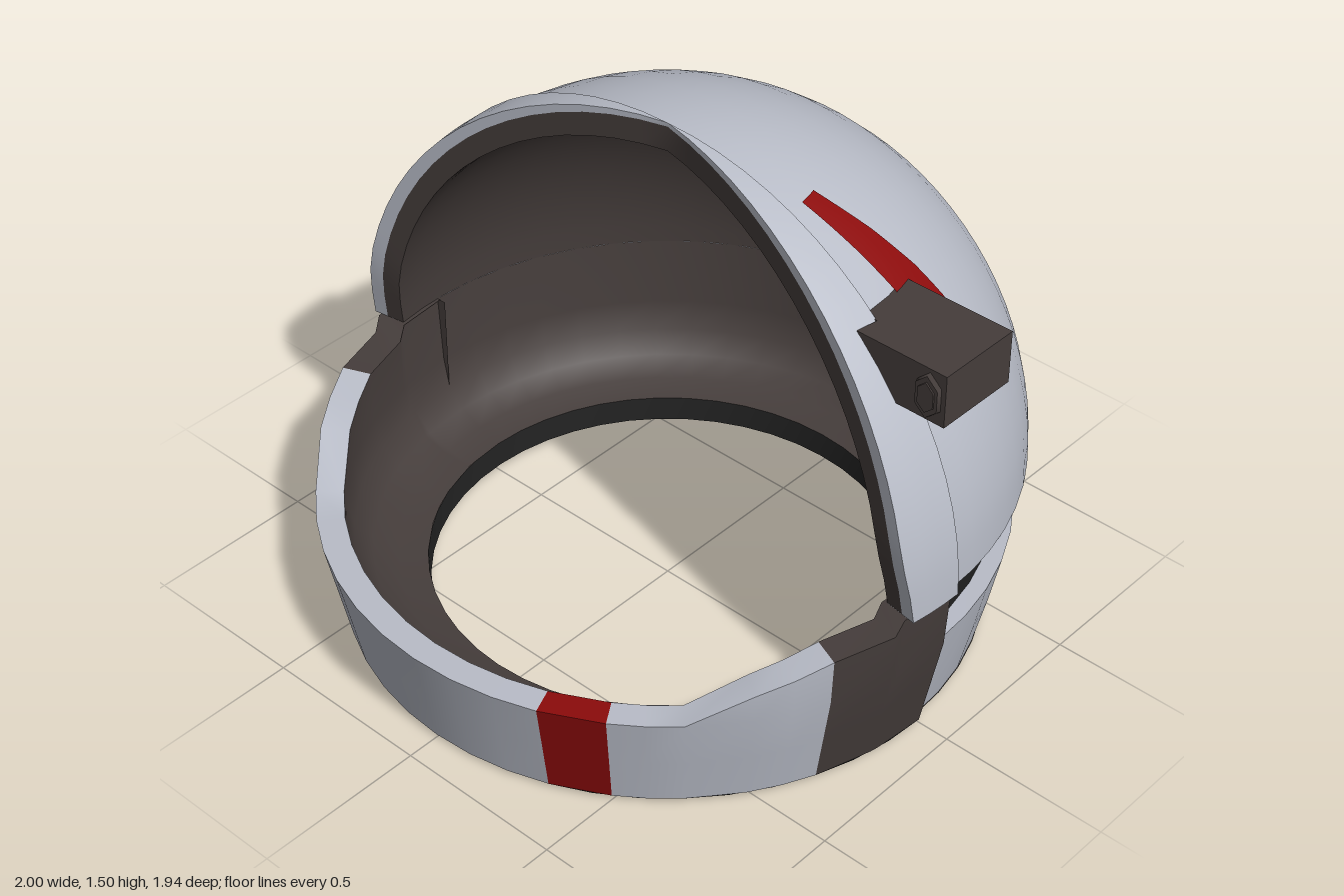
import * as THREE from 'three';
import { mergeGeometries, mergeVertices } from 'three/addons/utils/BufferGeometryUtils.js';

const BASE = 0.51;   // height of the dome's lower edge
const DOME = 0.975;  // dome radius
const LINE = 0.9;    // lining radius

function material(name, color) {
  const m = new THREE.MeshStandardMaterial({ color, side: THREE.DoubleSide });
  m.name = name;
  return m;
}

// Smooth surface from a grid of points; f(u, v) takes values out of us and vs
function grid(us, vs, f, flip = false) {
  const pos = [], idx = [], w = vs.length;
  us.forEach((u) => vs.forEach((v) => pos.push(...f(u, v))));
  for (let i = 0; i < us.length - 1; i++) {
    for (let j = 0; j < w - 1; j++) {
      const a = i * w + j, b = a + w, c = b + 1, d = a + 1;
      if (flip) idx.push(a, c, b, a, d, c);
      else idx.push(a, b, c, a, c, d);
    }
  }
  let g = new THREE.BufferGeometry();
  g.setAttribute('position', new THREE.Float32BufferAttribute(pos, 3));
  g.setIndex(idx);
  g = mergeVertices(g, 1e-5);
  g.computeVertexNormals();
  return g;
}

const range = (a, b, n) => Array.from({ length: n + 1 }, (_, i) => a + (b - a) * i / n);

// Angles in degrees passing through all given breaks, in steps of about 7.5
function angles(...breaks) {
  const out = [breaks[0]];
  for (let i = 1; i < breaks.length; i++) {
    const n = Math.max(1, Math.round((breaks[i] - breaks[i - 1]) / 7.5));
    out.push(...range(breaks[i - 1], breaks[i], n).slice(1));
  }
  return out;
}

// Sweep a profile of [radius, height] about y; angle 0 is the front, 90 is +x
function sweep(degs, profile) {
  const get = typeof profile === 'function' ? profile : () => profile;
  const n = get(degs[0]).length;
  return grid(degs, range(0, n - 1, n - 1), (d, j) => {
    const a = THREE.MathUtils.degToRad(d), [r, y] = get(d)[j];
    return [r * Math.sin(a), y, r * Math.cos(a)];
  });
}

// Upper edge of the chin guard by angle
const EDGE = [[0, 0.325], [45, 0.325], [55.5, 0.41], [67.7, 0.465], [78.5, 0.465], [80, BASE], [181, BASE]];
function topEdge(deg) {
  const a = Math.abs(((deg + 180) % 360 + 360) % 360 - 180);
  const i = EDGE.findIndex((e, k) => a >= e[0] && a <= EDGE[k + 1][0]);
  const [a0, y0] = EDGE[i], [a1, y1] = EDGE[i + 1];
  return y0 + (y1 - y0) * (a - a0) / (a1 - a0);
}
const chinRadius = (y) => (y < 0.325 ? 0.905 + (y - 0.01) * 0.2 : 0.968 + (y - 0.325) * 0.06);

// Outer wall and top face of a piece of the chin guard
function chinPiece(degs) {
  return mergeGeometries([
    sweep(degs, (d) => {
      const t = topEdge(d);
      return [0.01, 0.165, 0.32, t].map((y) => [chinRadius(y), y]);
    }),
    sweep(degs, (d) => [[chinRadius(topEdge(d)), topEdge(d)], [0.89, topEdge(d)]]),
  ]);
}

// Point on a sphere whose poles lie on z; t runs over the arch, p from the back pole
const ball = (R, t, p) => [R * Math.cos(t) * Math.sin(p), BASE + R * Math.sin(t) * Math.sin(p), -R * Math.cos(p)];
// The face opening sweeps forward towards the sides
const edgeAngle = (t) => Math.PI / 2 + Math.atan(Math.min(0.2 * Math.abs(Math.cos(t)), 0.165 + 0.15 * Math.sin(t)));

export function createModel() {
  const light = material('light grey shell', 0xb9bdc8);
  const dark = material('dark brown lining', 0x453d3b);
  const black = material('black band', 0x222222);
  const red = material('red stripe', 0x8c0b0b);

  const group = new THREE.Group();
  group.name = 'helmet';
  const add = (name, geometry, mat) => {
    const mesh = new THREE.Mesh(geometry, mat);
    mesh.name = name;
    group.add(mesh);
    return mesh;
  };

  const arch = range(0, Math.PI, 36);
  const half = Math.PI / 2;
  const back = angles(90, 270);

  // Dome and its underside
  add('dome', grid(arch, range(0, half, 16), (t, p) => ball(DOME, t, p)), light);
  add('domeUnderside', sweep(back, [[LINE, BASE], [DOME, BASE]]), light);

  // Raised trim around the face opening
  const trimR = (t) => 0.985 + 0.015 * Math.abs(Math.cos(t));
  const innerR = (t) => trimR(t) - 0.012 - 0.032 * Math.abs(Math.cos(t));
  const mix = (a, b, s) => a + (b - a) * s;
  add('faceTrim', mergeGeometries([
    grid(arch, range(0, 1, 3), (t, s) => ball(trimR(t), t, mix(half, edgeAngle(t), s))),
    grid(arch, [0, 1], (t, s) => ball(mix(trimR(t), innerR(t), s), t, edgeAngle(t))),
    grid(arch, [0, 1], (t, s) => ball(mix(0.96, trimR(t), s), t, half)),
    sweep(angles(80.6, 90), [[LINE, BASE], [1, BASE]]),
    sweep(angles(270, 279.4), [[LINE, BASE], [1, BASE]]),
  ]), light);

  // Lining: inside of the dome and the edge of the opening
  add('domeLining', grid(arch, range(0, 1, 18), (t, s) => ball(LINE, t, s * edgeAngle(t)), true), dark);
  add('openingEdge', grid(arch, [0, 1], (t, s) => ball(mix(innerR(t), LINE, s), t, edgeAngle(t))), dark);

  // Lower lining, curving in to the neck
  const ring = angles(-180, -90, -80, -78.5, -67.7, -55.5, -45, 0, 45, 55.5, 67.7, 78.5, 80, 90, 180);
  add('lowerLining', sweep(ring, (d) => [
    [topEdge(d) > 0.5 ? LINE : 0.89, topEdge(d)], [0.888, 0.3], [0.87, 0.21], [0.82, 0.15], [0.75, 0.115], [0.67, 0.1],
  ]), dark);

  // Neck opening and base ring
  const full = angles(-180, 180);
  add('neckWall', sweep(full, [[0.67, 0.1], [0.665, 0.025]]), black);
  add('baseRing', sweep(full, [[0.665, 0.025], [0.7, 0.004], [0.78, 0], [0.86, 0], [0.888, 0.012]]), dark);
  add('baseEdge', sweep(angles(-90, 90), [[0.885, 0.002], [0.905, 0.01]]), black);

  // Back of the helmet: black band above the light collar
  add('backBand', sweep(back, [[0.9, 0.32], [0.922, BASE]]), black);
  add('backCollar', mergeGeometries([
    sweep(back, [[0.885, 0.01], [0.92, 0.165], [0.95, 0.32]]),
    sweep(back, [[0.95, 0.32], [0.895, 0.32]]),
  ]), light);

  // Chin guard with a red stripe
  add('chinGuardRight', chinPiece(angles(-67.7, -55.5, -45, 0, 22.5)), light);
  add('chinStripe', chinPiece(angles(22.5, 33.3)), red);
  add('chinGuardLeft', chinPiece(angles(33.3, 45, 55.5, 67.7)), light);

  // Dark side panels joining the chin guard to the shell
  for (const s of [1, -1]) {
    const degs = angles(67.7, 78.5, 80, 90).map((d) => s * d);
    if (s < 0) degs.reverse();
    const end = grid([0, 1], [0.01, 0.165, 0.32, BASE],
      (u, y) => [s * mix(0.87, chinRadius(y), u), y, 0], s > 0);
    add(s > 0 ? 'sidePanelLeft' : 'sidePanelRight', mergeGeometries([chinPiece(degs), end]), dark);
  }

  // Curved red stripe on the dome, rows of [height, front z, back z]
  const rows = [[1.405, -0.06, -0.12], [1.32, -0.09, -0.185], [1.23, -0.12, -0.24], [1.15, -0.145, -0.275], [1.065, -0.165, -0.3]];
  add('domeStripe', grid(range(0, 16, 16), range(0, 1, 4), (i, s) => {
    const k = Math.min(3, Math.floor(i / 4)), f = i / 4 - k;
    const [y, z0, z1] = rows[k].map((v, j) => mix(v, rows[k + 1][j], f));
    const z = mix(z0, z1, s);
    return [Math.sqrt(0.981 ** 2 - (y - BASE) ** 2 - z * z), y, z];
  }, true), red);

  // Side lamp
  const outline = new THREE.Shape([[0.635, 0.185], [0.655, 0], [0.7, -0.005], [0.69, -0.07], [0.97, -0.07], [0.972, 0.185]]
    .map(([x, y]) => new THREE.Vector2(x, y)));
  const lamp = new THREE.ExtrudeGeometry(outline, { depth: 0.155, bevelEnabled: false });
  lamp.rotateX(-Math.PI / 2).translate(0, 1.07, 0);
  add('lampBody', lamp, dark);
  [[0.07, 0.02, 0.073], [0.05, 0.02, 0.077]].forEach(([r, depth, z], i) => {
    const g = new THREE.CylinderGeometry(r * 0.9, r, depth, 6).rotateX(half).scale(0.62, 1, 1);
    g.translate(0.92, 1.147, z);
    add(i ? 'lampLens' : 'lampBezel', g, dark);
  });

  return group;
}
